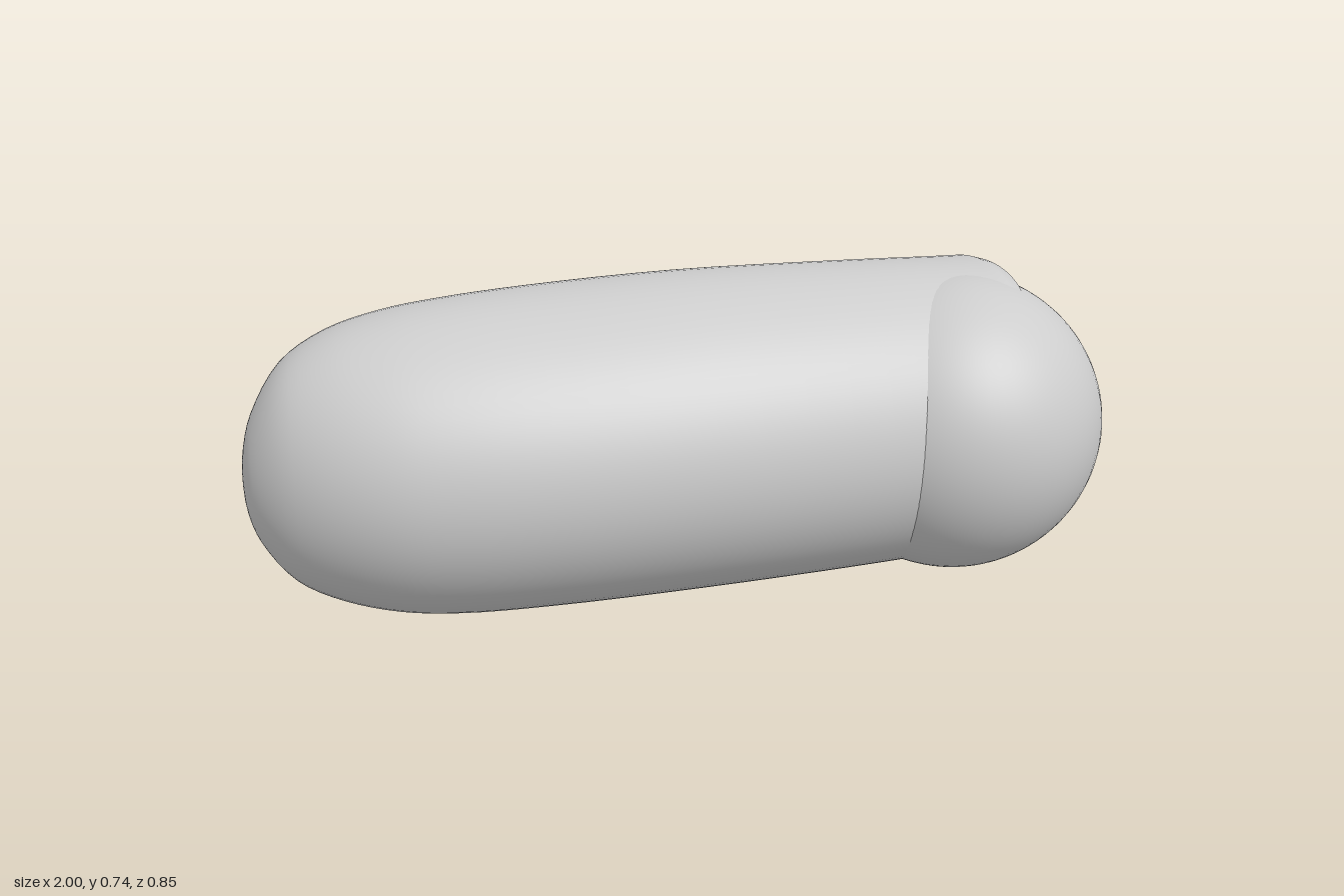
import * as THREE from 'three';

const grey = new THREE.MeshStandardMaterial({ color: 0xcccccc });
grey.name = 'light grey';

// Body sections along x: x, back z, front z, bottom y, top y
const SECTIONS = [
  [-1.0, 0.065, 0.075, 0.355, 0.365],
  [-0.993, 0.01, 0.135, 0.285, 0.43],
  [-0.97, -0.045, 0.2, 0.22, 0.51],
  [-0.9, -0.135, 0.285, 0.125, 0.62],
  [-0.8, -0.215, 0.35, 0.07, 0.68],
  [-0.68, -0.27, 0.395, 0.036, 0.712],
  [-0.55, -0.302, 0.415, 0.02, 0.728],
  [-0.35, -0.343, 0.422, 0.012, 0.738],
  [0.0, -0.38, 0.405, 0.008, 0.745],
  [0.4, -0.403, 0.36, 0.006, 0.735],
  [0.65, -0.42, 0.325, 0.008, 0.724],
  [0.755, -0.427, 0.31, 0.015, 0.72],
];

// Rolled rim and shallow closed end, drawn inwards
const RIM = [
  [0.782, -0.425, 0.305, 0.025, 0.712],
  [0.79, -0.412, 0.29, 0.04, 0.695],
  [0.782, -0.385, 0.27, 0.07, 0.665],
  [0.75, -0.34, 0.24, 0.11, 0.62],
  [0.72, -0.06, -0.055, 0.357, 0.363],
];

// Smoothly interpolate the section table
function refine(rows, steps) {
  const low = new THREE.CatmullRomCurve3(rows.map(r => new THREE.Vector3(r[0], r[3], r[1])));
  const high = new THREE.CatmullRomCurve3(rows.map(r => new THREE.Vector3(r[0], r[4], r[2])));
  const out = [];
  const count = (rows.length - 1) * steps;
  for (let i = 0; i <= count; i++) {
    const a = low.getPoint(i / count), b = high.getPoint(i / count);
    out.push([(a.x + b.x) / 2, a.z, b.z, a.y, b.y]);
  }
  return out;
}

function bodyGeometry() {
  const rings = [...refine(SECTIONS, 4), ...RIM];
  const sides = 72, pos = [], index = [];
  rings.forEach(([x, z0, z1, y0, y1]) => {
    // the open end is cut at a slant, with a slightly wavy edge
    const end = THREE.MathUtils.smoothstep(x, 0.5, 0.75);
    for (let j = 0; j < sides; j++) {
      const a = (j / sides) * Math.PI * 2;
      const z = (z0 + z1) / 2 + ((z1 - z0) / 2) * Math.cos(a);
      const y = (y0 + y1) / 2 + ((y1 - y0) / 2) * Math.sin(a);
      const slant = 0.11 * Math.min(0, z - 0.08) + 0.006 * Math.sin(5 * a + 1);
      pos.push(x + end * slant, y, z);
    }
  });
  for (let i = 0; i < rings.length - 1; i++) {
    for (let j = 0; j < sides; j++) {
      const a = i * sides + j, b = i * sides + ((j + 1) % sides);
      index.push(a, a + sides, b, b, a + sides, b + sides);
    }
  }
  const geo = new THREE.BufferGeometry();
  geo.setAttribute('position', new THREE.Float32BufferAttribute(pos, 3));
  geo.setIndex(index);
  geo.computeVertexNormals();
  return geo;
}

export function createModel() {
  const group = new THREE.Group();
  group.name = 'capsule';

  // Long rounded body
  const body = new THREE.Mesh(bodyGeometry(), grey);
  body.name = 'body';
  group.add(body);

  // Ball set into the end of the body
  const ball = new THREE.Mesh(new THREE.SphereGeometry(0.355, 64, 48), grey);
  ball.name = 'endBall';
  ball.position.set(0.645, 0.36, 0.043);
  group.add(ball);

  return group;
}
